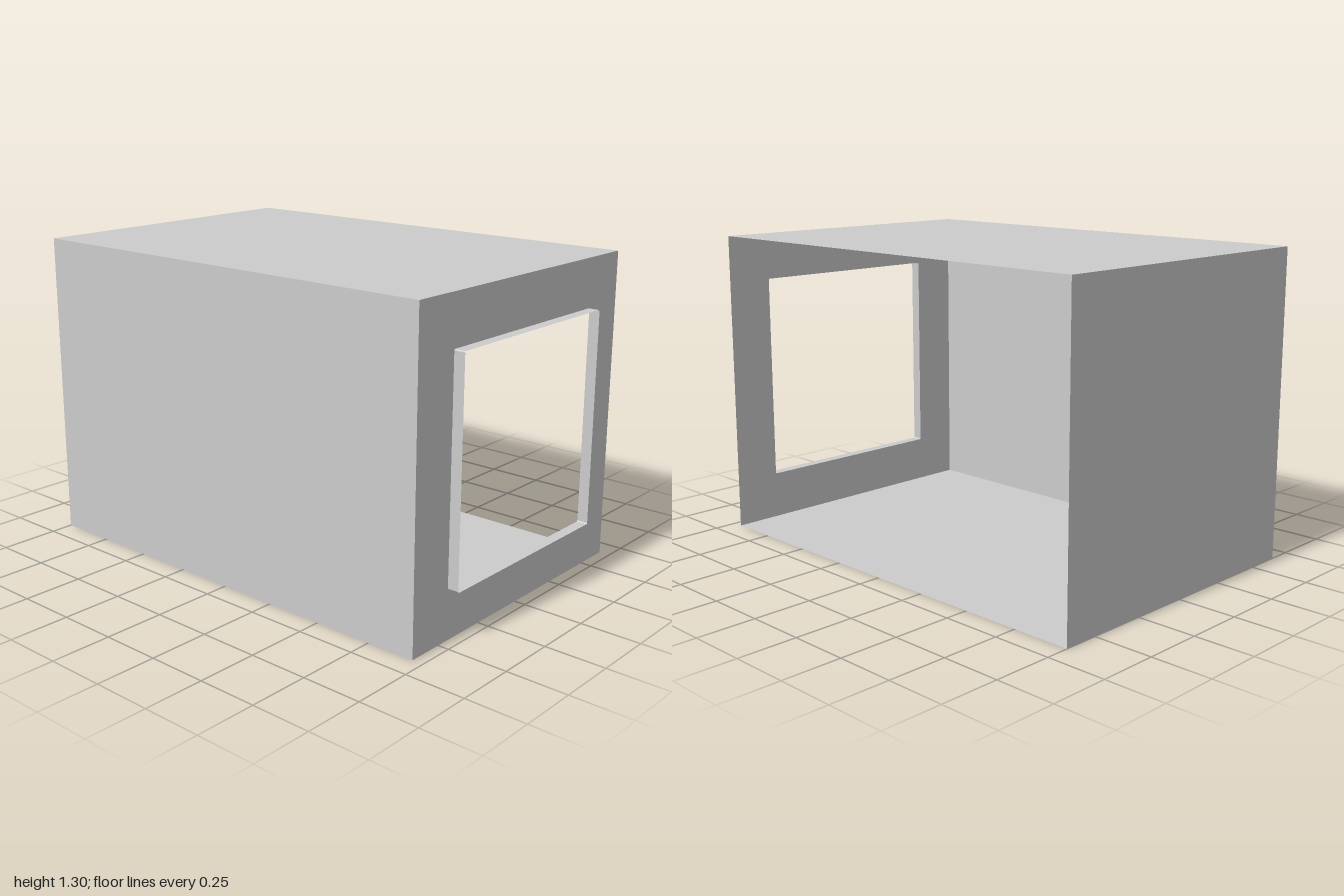
import * as THREE from 'three';

const X0 = -1, X1 = 0.954, X2 = 1; // closed end, window wall, collar rim
const H = 1.303, D = 1.303;        // height and depth of the shell
const HOLE = 0.449, R = 0.006;     // half size and corner radius of the opening

const material = new THREE.MeshStandardMaterial({ color: 0xcccccc, side: THREE.DoubleSide });

// Outline of the square opening, with slightly softened corners
function openingPoints() {
  const pts = [], c = HOLE - R;
  [[1, 1], [-1, 1], [-1, -1], [1, -1]].forEach(([sx, sy], k) => {
    for (let i = 0; i <= 3; i++) {
      const a = (k + i / 3) * Math.PI / 2;
      pts.push(new THREE.Vector2(sx * c + R * Math.cos(a), sy * c + R * Math.sin(a)));
    }
  });
  return pts;
}

export function createModel() {
  const group = new THREE.Group();
  const add = (name, geometry, x, y, z, rx = 0, ry = 0) => {
    const mesh = new THREE.Mesh(geometry, material);
    mesh.name = name;
    mesh.position.set(x, y, z);
    mesh.rotation.set(rx, ry, 0);
    group.add(mesh);
  };
  const L = X1 - X0, cx = (X0 + X1) / 2, q = Math.PI / 2;

  // Thin shell panels; the back is open
  add('frontWall', new THREE.PlaneGeometry(L, H), cx, H / 2, D / 2);
  add('roof', new THREE.PlaneGeometry(L, D), cx, H, 0, -q);
  add('floor', new THREE.PlaneGeometry(L, D), cx, 0, 0, q);
  add('endWall', new THREE.PlaneGeometry(D, H), X0, H / 2, 0, 0, -q);

  // End wall with the square opening
  const w = D / 2, h = H / 2;
  const wall = new THREE.Shape([[-w, -h], [w, -h], [w, h], [-w, h]].map(p => new THREE.Vector2(...p)));
  const outline = openingPoints();
  wall.holes.push(new THREE.Path([...outline].reverse()));
  add('windowWall', new THREE.ShapeGeometry(wall), X1, h, 0, 0, q);

  // Thin collar standing out around the opening
  const pos = [];
  outline.forEach((a, i) => {
    const b = outline[(i + 1) % outline.length], t = X2 - X1;
    pos.push(a.x, a.y, 0, b.x, b.y, 0, b.x, b.y, t, a.x, a.y, 0, b.x, b.y, t, a.x, a.y, t);
  });
  const collar = new THREE.BufferGeometry();
  collar.setAttribute('position', new THREE.Float32BufferAttribute(pos, 3));
  collar.computeVertexNormals();
  add('windowCollar', collar, X1, h, 0, 0, q);

  return group;
}
